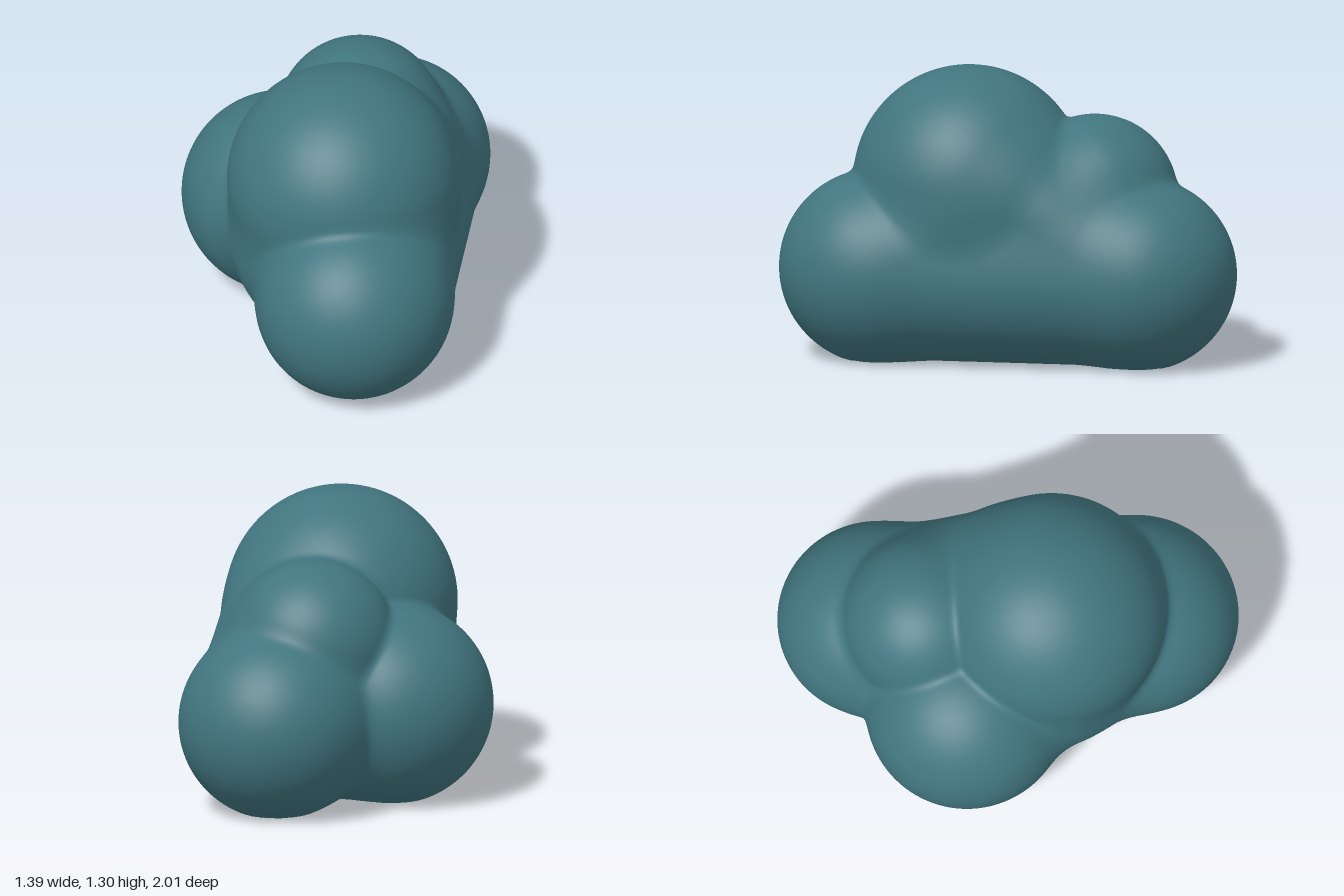
import * as THREE from 'three';
import { mergeVertices } from 'three/addons/utils/BufferGeometryUtils.js';

const V = (x, y, z) => new THREE.Vector3(x, y, z);

// Round puffs of the cloud: centre and radius
const puffs = [
  { c: V(0, 0.4, 0.573), r: 0.425 },       // front
  { c: V(-0.01, 0.78, 0.16), r: 0.515 },   // crown
  { c: V(0.11, 0.72, -0.39), r: 0.37 },    // rear top
  { c: V(0.27, 0.4, -0.58), r: 0.42 },     // rear left
  { c: V(-0.24, 0.42, -0.285), r: 0.45 },  // rear right
];

// Thick rounded triangles that fill the body between the puffs
const fills = [
  { t: new THREE.Triangle(V(0, 0.4, 0.57), V(0.27, 0.4, -0.58), V(-0.1, 0.4, -0.15)), r: 0.395 },
  { t: new THREE.Triangle(V(0.05, 0.4, 0.52), V(0.27, 0.4, -0.5), V(0.14, 0.71, -0.02)), r: 0.38 },
];
const underCrown = { c: V(-0.06, 0.48, 0.1), r: 0.455 };

// Smooth union of two distances
function blend(a, b, k) {
  const h = Math.max(k - Math.abs(a - b), 0) / k;
  return Math.min(a, b) - h * h * k / 4;
}

const near = new THREE.Vector3();
function distance(p) {
  let puff = Infinity;
  for (const { c, r } of puffs) {
    const d = p.distanceTo(c) - r;
    puff = puff === Infinity ? d : blend(puff, d, 0.03);
  }
  let fill = p.distanceTo(underCrown.c) - underCrown.r;
  for (const { t, r } of fills) {
    t.closestPointToPoint(p, near);
    fill = blend(fill, p.distanceTo(near) - r, 0.08);
  }
  return Math.max(blend(puff, fill, 0.08), -p.y); // flat underside
}

export function createModel() {
  const group = new THREE.Group();
  group.name = 'cloud';
  const teal = new THREE.MeshStandardMaterial({ color: 0x41757f });
  teal.name = 'teal';

  // Shrink a fine sphere inwards until it meets the blended puffs
  let geo = new THREE.IcosahedronGeometry(1, 64);
  geo.deleteAttribute('uv');
  geo.deleteAttribute('normal');
  geo = mergeVertices(geo, 1e-5);
  const pos = geo.attributes.position;
  const centre = V(0.05, 0.42, -0.08);
  const dir = new THREE.Vector3(), p = new THREE.Vector3();
  for (let i = 0; i < pos.count; i++) {
    dir.fromBufferAttribute(pos, i).normalize();
    let t = 1.5;
    for (let s = 0; s < 60; s++) {
      p.copy(centre).addScaledVector(dir, t);
      const d = distance(p);
      if (d < 0.0003) break;
      t -= d * 0.95;
    }
    pos.setXYZ(i, p.x, Math.max(p.y, 0), p.z);
  }

  // Centre on the ground plane
  geo.computeBoundingBox();
  const mid = geo.boundingBox.getCenter(new THREE.Vector3());
  geo.translate(-mid.x, -geo.boundingBox.min.y, -mid.z);
  geo.computeVertexNormals();

  const body = new THREE.Mesh(geo, teal);
  body.name = 'cloudBody';
  group.add(body);
  return group;
}
